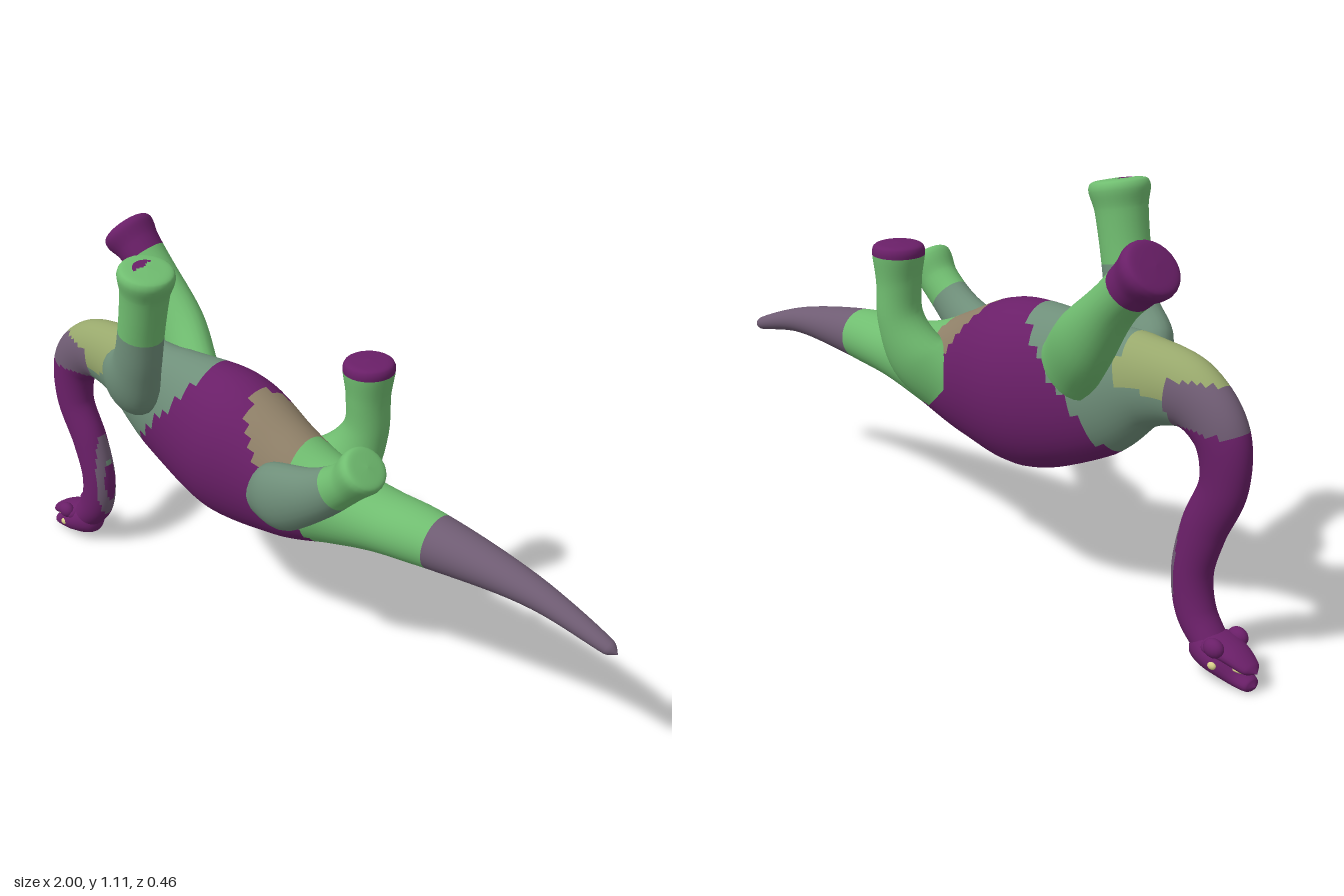
import * as THREE from 'three';

const COLORS = {
  purple: 0x6a1f68, green: 0x70bd70, sage: 0x6f8f7a, mauve: 0x6f5c73,
  tan: 0x8f8068, olive: 0x98a86c, cream: 0xd8d08a,
};
const materials = {};
for (const [key, color] of Object.entries(COLORS)) {
  materials[key] = new THREE.MeshStandardMaterial({ color });
}

// Smooth skin through oval sections [x, y, z, half height, half width].
// paint(point, t) picks the colour of each patch; one mesh per colour.
function loft(name, sections, paint, steps = 60, sides = 28) {
  const path = new THREE.CatmullRomCurve3(
    sections.map(([x, y, z]) => new THREE.Vector3(x, y, z)), false, 'centripetal');
  const sizes = new THREE.CatmullRomCurve3(
    sections.map((s) => new THREE.Vector3(s[3], s[4], 0)), false, 'catmullrom');
  const positions = [];
  const tangent = new THREE.Vector3();
  for (let i = 0; i <= steps; i++) {
    const t = i / steps;
    const center = path.getPoint(t);
    path.getTangent(t, tangent);
    const size = sizes.getPoint(t);
    const side = new THREE.Vector3(0, 0, 1).addScaledVector(tangent, -tangent.z).normalize();
    const up = side.clone().cross(tangent);
    for (let j = 0; j < sides; j++) {
      const a = (j / sides) * Math.PI * 2;
      const p = center.clone()
        .addScaledVector(up, Math.cos(a) * Math.max(size.x, 0.0005))
        .addScaledVector(side, Math.sin(a) * Math.max(size.y, 0.0005));
      positions.push(p.x, p.y, p.z);
    }
  }
  const patches = {};
  const all = [];
  for (let i = 0; i < steps; i++) {
    for (let j = 0; j < sides; j++) {
      const k = (j + 1) % sides;
      const a = i * sides + j, b = i * sides + k;
      const c = b + sides, d = a + sides;
      const p = new THREE.Vector3().fromArray(positions, a * 3);
      const key = paint(p, i / steps);
      (patches[key] ??= []).push(a, b, c, a, c, d);
      all.push(a, b, c, a, c, d);
    }
  }
  const skin = new THREE.BufferGeometry();
  skin.setAttribute('position', new THREE.Float32BufferAttribute(positions, 3));
  skin.setIndex(all);
  skin.computeVertexNormals();

  const group = new THREE.Group();
  group.name = name;
  for (const [key, index] of Object.entries(patches)) {
    const patch = skin.clone();
    patch.setIndex(index);
    const mesh = new THREE.Mesh(patch.toNonIndexed(), materials[key]);
    mesh.name = `${name} ${key} skin`;
    group.add(mesh);
  }
  return group;
}

// Leg with a flared foot closed by a slightly domed sole
function leg(name, sections, paint) {
  const [x, y, z, h, w] = sections.at(-1);
  const before = sections.at(-2);
  const dir = new THREE.Vector3(x - before[0], y - before[1], z - before[2]).normalize();
  const ring = (d, s) => [x + dir.x * d, y + dir.y * d, z + dir.z * d, h * s, w * s];
  return loft(name, [...sections, ring(0.02, 0.93), ring(0.026, 0.7), ring(0.029, 0)], paint, 48, 24);
}

function ball(name, x, y, z, sx, sy, sz, key) {
  const mesh = new THREE.Mesh(new THREE.SphereGeometry(1, 16, 12), materials[key]);
  mesh.position.set(x, y, z);
  mesh.scale.set(sx, sy, sz);
  mesh.name = name;
  return mesh;
}

function paintBody({ x, y }) {
  if (x < -0.76 && y < 0.62) return 'purple';
  if (x < -0.74 && y < 0.73) return 'mauve';
  if (x < -0.6 && y > 0.68) return 'olive';
  if (x > 0.45) return 'mauve';
  if (x < -0.42 + (y - 0.65) * 0.9) return 'sage';
  if (x < 0.1 - (y - 0.45) * 0.7) return 'purple';
  if (x < 0.05 && y > 0.58) return 'tan';
  return 'green';
}

export function createModel() {
  const model = new THREE.Group();
  model.name = 'overturned long-necked dinosaur';

  // Neck, trunk and tail in one skin
  model.add(loft('body', [
    [-0.87, 0.07, 0.004, 0.04, 0.045],
    [-0.805, 0.15, 0.004, 0.052, 0.046],
    [-0.787, 0.25, 0.004, 0.054, 0.046],
    [-0.815, 0.37, 0.004, 0.06, 0.046],
    [-0.868, 0.50, 0.004, 0.063, 0.048],
    [-0.855, 0.62, 0, 0.075, 0.055],
    [-0.77, 0.69, 0, 0.088, 0.065],
    [-0.63, 0.69, 0, 0.115, 0.08],
    [-0.45, 0.63, 0, 0.182, 0.105],
    [-0.22, 0.58, -0.01, 0.222, 0.152],
    [0, 0.545, -0.005, 0.17, 0.12],
    [0.15, 0.54, -0.01, 0.118, 0.1],
    [0.3, 0.545, -0.015, 0.085, 0.09],
    [0.46, 0.548, -0.02, 0.073, 0.075],
    [0.76, 0.523, -0.028, 0.038, 0.042],
    [0.975, 0.463, -0.03, 0.018, 0.02],
    [0.998, 0.455, -0.03, 0, 0],
  ], paintBody, 140, 40));

  // Legs pointing upward, each in its own pose
  model.add(leg('frontLeftLeg', [
    [-0.56, 0.66, 0.07, 0.07, 0.05],
    [-0.5, 0.72, 0.11, 0.1, 0.065],
    [-0.44, 0.81, 0.135, 0.073, 0.06],
    [-0.405, 0.93, 0.145, 0.064, 0.062],
    [-0.38, 1.04, 0.15, 0.067, 0.067],
    [-0.37, 1.085, 0.152, 0.077, 0.077],
  ], (p, t) => (t < 0.35 ? 'sage' : t > 0.9 && p.x < -0.38 ? 'purple' : 'green')));
  model.add(leg('frontRightLeg', [
    [-0.44, 0.69, -0.08, 0.09, 0.06],
    [-0.54, 0.79, -0.13, 0.085, 0.062],
    [-0.65, 0.91, -0.15, 0.06, 0.06],
    [-0.72, 0.98, -0.15, 0.063, 0.067],
    [-0.752, 1.008, -0.15, 0.074, 0.078],
  ], (p, t) => (t > 0.36 ? 'purple' : 'green')));
  model.add(leg('hindRightLeg', [
    [0.02, 0.53, -0.07, 0.1, 0.07],
    [0.09, 0.6, -0.12, 0.09, 0.07],
    [0.13, 0.7, -0.145, 0.062, 0.062],
    [0.135, 0.8, -0.145, 0.058, 0.062],
    [0.135, 0.876, -0.145, 0.069, 0.07],
  ], (p, t) => (t > 0.56 ? 'purple' : 'green')));
  model.add(leg('hindLeftLeg', [
    [-0.03, 0.53, 0.07, 0.07, 0.06],
    [0.05, 0.57, 0.105, 0.095, 0.065],
    [0.2, 0.65, 0.122, 0.067, 0.053],
    [0.29, 0.72, 0.123, 0.055, 0.056],
    [0.33, 0.763, 0.122, 0.063, 0.067],
  ], (p, t) => (t < 0.35 ? 'sage' : 'green')));

  // Head upside down: skull below, open jaw above
  const head = new THREE.Group();
  head.name = 'head';
  const purple = () => 'purple';
  head.add(loft('skull', [
    [-0.8, 0.1, 0.004, 0, 0],
    [-0.83, 0.085, 0.004, 0.045, 0.045],
    [-0.89, 0.067, 0.004, 0.043, 0.06],
    [-0.945, 0.036, 0.004, 0.024, 0.038],
    [-0.983, 0.026, 0.004, 0.016, 0.024],
    [-0.995, 0.026, 0.004, 0, 0],
  ], purple, 36, 20));
  head.add(loft('jaw', [
    [-0.84, 0.1, 0.004, 0, 0],
    [-0.87, 0.097, 0.004, 0.026, 0.054],
    [-0.93, 0.087, 0.004, 0.023, 0.045],
    [-0.98, 0.067, 0.004, 0.014, 0.027],
    [-0.998, 0.062, 0.004, 0, 0],
  ], purple, 30, 20));
  head.add(ball('tongue', -0.945, 0.06, 0.004, 0.04, 0.01, 0.026, 'cream'));
  head.add(ball('crown', -0.845, 0.06, 0.004, 0.03, 0.026, 0.035, 'purple'));
  for (const side of [1, -1]) {
    head.add(ball('cheek', -0.9, 0.105, 0.004 + side * 0.044, 0.028, 0.024, 0.02, 'purple'));
    head.add(ball('eye', -0.905, 0.065, 0.004 + side * 0.054, 0.012, 0.01, 0.008, 'cream'));
  }
  model.add(head);
  return model;
}
